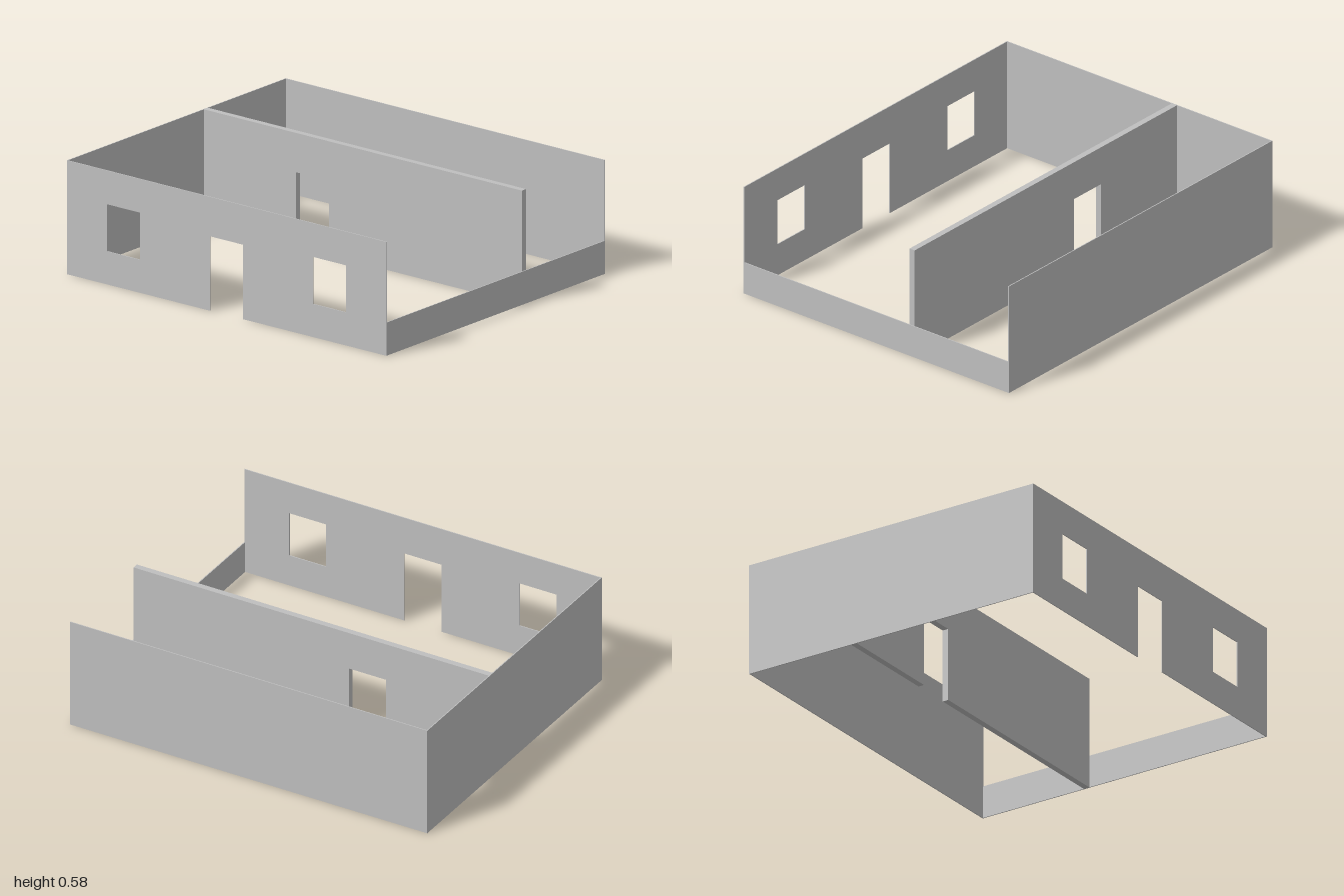
import * as THREE from 'three';

const HALF_W = 0.83, HALF_D = 1, HEIGHT = 0.578, LOW = 0.168, THIN = 0.005;
const DOOR_TOP = 0.378, WINDOW_TOP = 0.407;

export function createModel() {
  const house = new THREE.Group();
  house.name = 'houseWalls';
  const plaster = new THREE.MeshStandardMaterial({ color: 0xbfbfbf });
  plaster.name = 'grey plaster';

  const add = (name, geometry, x, y, z) => {
    const mesh = new THREE.Mesh(geometry, plaster);
    mesh.name = name;
    mesh.position.set(x, y, z);
    house.add(mesh);
  };

  // Wall running front to back: doors notch the lower edge, windows are holes.
  // The outline is drawn in (z, y), extruded, then turned so its depth runs along x.
  const sideWall = (name, x, thickness, halfLength, doors, windows) => {
    const outline = [[-halfLength, 0]];
    for (const [a, b] of doors) outline.push([a, 0], [a, DOOR_TOP], [b, DOOR_TOP], [b, 0]);
    outline.push([halfLength, 0], [halfLength, HEIGHT], [-halfLength, HEIGHT]);
    const shape = new THREE.Shape(outline.map(([u, v]) => new THREE.Vector2(u, v)));
    for (const [a, b] of windows) {
      const corners = [[a, LOW], [a, WINDOW_TOP], [b, WINDOW_TOP], [b, LOW]];
      shape.holes.push(new THREE.Path(corners.map(([u, v]) => new THREE.Vector2(u, v))));
    }
    const geometry = new THREE.ExtrudeGeometry(shape, { depth: thickness, bevelEnabled: false });
    geometry.translate(0, 0, -thickness / 2);
    geometry.rotateY(-Math.PI / 2);
    add(name, geometry, x, 0, 0);
  };

  // Outer side walls, the right one with a door between two windows
  const sideX = HALF_W - THIN / 2;
  sideWall('rightWall', -sideX, THIN, HALF_D, [[-0.104, 0.104]], [[-0.748, -0.541], [0.541, 0.748]]);
  sideWall('leftWall', sideX, THIN, HALF_D, [], []);

  // Thick inner partition with its doorway
  sideWall('partitionWall', 0.22, 0.032, HALF_D - THIN, [[-0.42, -0.213]], []);

  // Full-height back wall and low front wall between the side walls
  const width = 2 * (HALF_W - THIN), endZ = HALF_D - THIN / 2;
  add('backWall', new THREE.BoxGeometry(width, HEIGHT, THIN), 0, HEIGHT / 2, -endZ);
  add('lowFrontWall', new THREE.BoxGeometry(width, LOW, THIN), 0, LOW / 2, endZ);

  return house;
}
